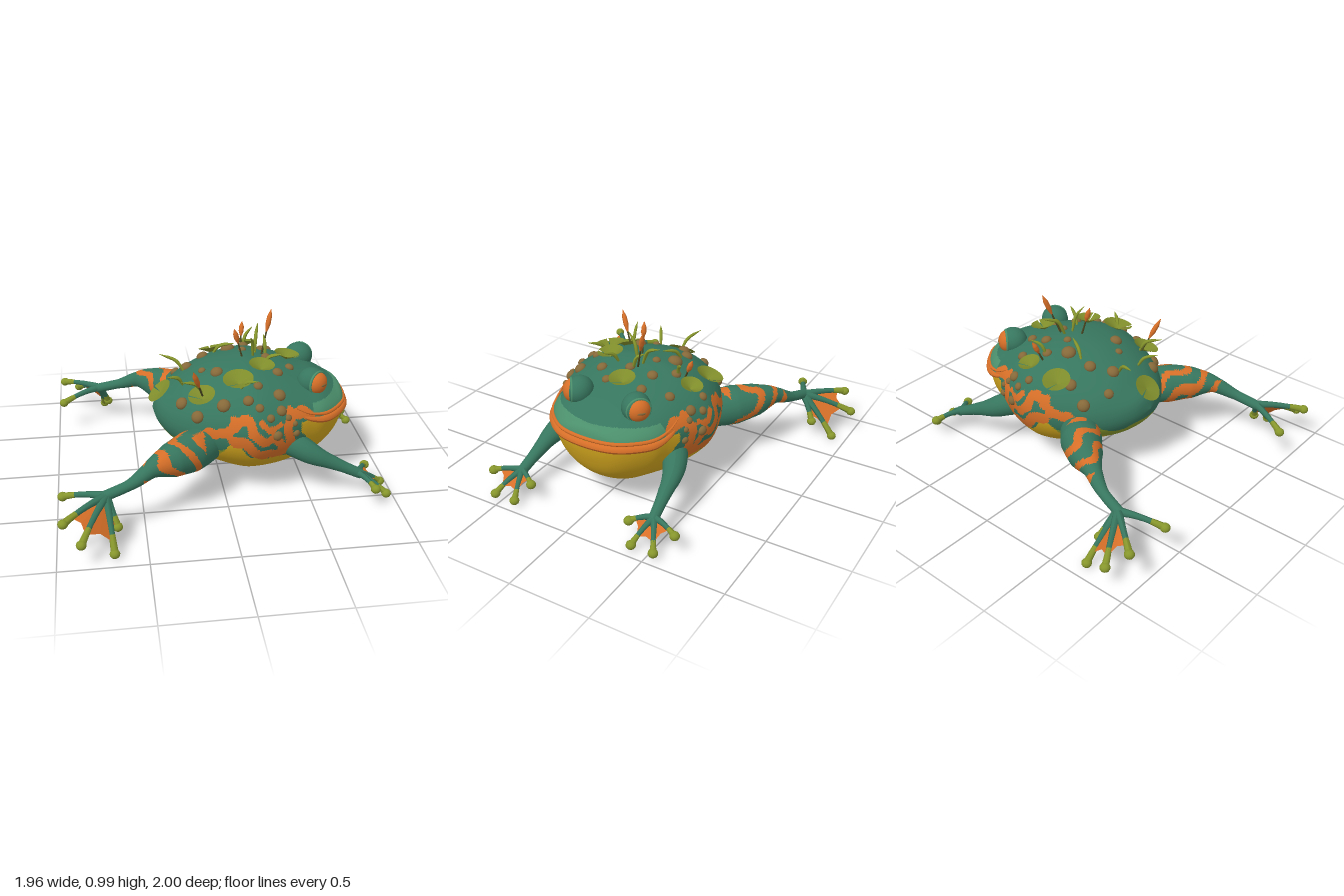
import * as THREE from 'three';

const mat = (name, color) => Object.assign(new THREE.MeshStandardMaterial({ color }), { name });
const V = (x, y, z) => new THREE.Vector3(x, y, z);
const UP = V(0, 1, 0);

// Body sections: x, bottom, widest height, top, half width
const SECTIONS = [
  [-0.4, 0.44, 0.44, 0.44, 0], [-0.37, 0.36, 0.43, 0.52, 0.12], [-0.3, 0.28, 0.42, 0.58, 0.24],
  [-0.2, 0.215, 0.42, 0.65, 0.34], [-0.05, 0.14, 0.42, 0.715, 0.43], [0.1, 0.085, 0.43, 0.745, 0.485],
  [0.2, 0.075, 0.44, 0.75, 0.497], [0.35, 0.08, 0.45, 0.72, 0.455], [0.5, 0.11, 0.48, 0.67, 0.39],
  [0.6, 0.15, 0.49, 0.635, 0.345], [0.7, 0.24, 0.49, 0.58, 0.255], [0.755, 0.36, 0.49, 0.55, 0.16],
  [0.78, 0.49, 0.49, 0.49, 0],
];
const curveA = new THREE.CatmullRomCurve3(SECTIONS.map(s => V(s[0], s[1], s[2])), false, 'catmullrom');
const curveB = new THREE.CatmullRomCurve3(SECTIONS.map(s => V(s[3], s[4], 0)), false, 'catmullrom');

// Flank markings: half width, then x, y points
const STRIPES = [
  [0.03, [-0.19, 0.41], [-0.08, 0.455], [0, 0.46], [0.055, 0.535], [0.13, 0.54], [0.14, 0.47], [0.2, 0.415], [0.28, 0.43], [0.32, 0.36]],
  [0.036, [0.04, 0.42], [0.11, 0.4], [0.16, 0.335], [0.24, 0.31], [0.32, 0.32]],
  [0.018, [0.19, 0.53], [0.235, 0.48], [0.3, 0.5]],
  [0.03, [0.375, 0.555], [0.355, 0.45], [0.375, 0.37], [0.33, 0.3]],
  [0.03, [0.425, 0.55], [0.5, 0.515]],
];
function onStripe(x, y) {
  const wobble = 0.006 * Math.sin(x * 70 + y * 45), q = V(x, y, 0), hit = V();
  return STRIPES.some(([w, ...pts]) => pts.slice(1).some((b, i) =>
    new THREE.Line3(V(...pts[i], 0), V(...b, 0)).closestPointToPoint(q, true, hit).distanceTo(q) < w + wobble));
}

// Point on the skin; angle runs from the top of the back towards +z
function skin(t, a) {
  const A = curveA.getPoint(t), B = curveB.getPoint(t), c = Math.cos(a);
  return V(A.x, A.z + c * (c > 0 ? B.x - A.z : A.z - A.y), B.y * Math.sin(a));
}
function tAt(x) {
  let lo = 0, hi = 1;
  for (let i = 0; i < 24; i++) {
    const m = (lo + hi) / 2;
    if (curveA.getPoint(m).x < x) lo = m; else hi = m;
  }
  return lo;
}
function spot(x, a) {
  const t = tAt(x), p = skin(t, a), e = 0.004;
  const n = skin(t, a + e).sub(skin(t, a - e)).cross(skin(t + e, a).sub(skin(t - e, a))).normalize();
  return { p, n };
}
const backSpot = (x, z) =>
  spot(x, Math.asin(THREE.MathUtils.clamp(z / curveB.getPoint(tAt(x)).y, -0.98, 0.98)));

// Sort triangles into material groups by a rule on their centres
function paint(geo, rule, count) {
  const pos = geo.attributes.position, idx = geo.index.array;
  const lists = Array.from({ length: count }, () => []);
  for (let i = 0; i < idx.length; i += 3) {
    const c = V(0, 0, 0);
    for (let k = 0; k < 3; k++) c.add(V().fromBufferAttribute(pos, idx[i + k]));
    c.divideScalar(3);
    lists[rule(c)].push(idx[i], idx[i + 1], idx[i + 2]);
  }
  geo.setIndex(lists.flat());
  let start = 0;
  lists.forEach((l, m) => { geo.addGroup(start, l.length, m); start += l.length; });
  return geo;
}

function bodyGeometry(rows = 170, cols = 160) {
  const pos = [], idx = [];
  for (let i = 0; i <= rows; i++)
    for (let j = 0; j < cols; j++) pos.push(...skin(i / rows, (j / cols) * Math.PI * 2).toArray());
  for (let i = 0; i < rows; i++)
    for (let j = 0; j < cols; j++) {
      const a = i * cols + j, b = i * cols + (j + 1) % cols;
      idx.push(a, b, a + cols, b, b + cols, a + cols);
    }
  const g = new THREE.BufferGeometry();
  g.setAttribute('position', new THREE.Float32BufferAttribute(pos, 3));
  g.setIndex(idx);
  g.computeVertexNormals();
  return g;
}

// Tube whose radius follows a list of values
function taper(points, radii, rings = 16, sides = 12) {
  const curve = new THREE.CatmullRomCurve3(points);
  const g = new THREE.TubeGeometry(curve, rings, 1, sides), pos = g.attributes.position;
  for (let i = 0; i <= rings; i++) {
    const c = curve.getPointAt(i / rings), f = (i / rings) * (radii.length - 1);
    const k = Math.min(Math.floor(f), radii.length - 2);
    const r = THREE.MathUtils.lerp(radii[k], radii[k + 1], f - k);
    for (let j = 0; j <= sides; j++) {
      const n = i * (sides + 1) + j;
      const v = V().fromBufferAttribute(pos, n).sub(c).multiplyScalar(r).add(c);
      pos.setXYZ(n, v.x, v.y, v.z);
    }
  }
  g.computeVertexNormals();
  return g;
}

export function createModel() {
  const root = new THREE.Group();
  root.name = 'frog';
  const green = mat('skin green', 0x37765f), pale = mat('snout green', 0x4b8f6c);
  const orange = mat('marking orange', 0xd66f28), yellow = mat('belly yellow', 0xd0a41e);
  const olive = mat('leaf olive', 0x87962c), brown = mat('wart brown', 0x86693a);
  const dark = mat('stem brown', 0x4c4a22), leaf = mat('pad olive', 0x7f8c2b);
  leaf.side = orange.side = THREE.DoubleSide;
  const add = (name, geo, m, p) => {
    const o = new THREE.Mesh(geo, m);
    o.name = name;
    if (p) o.position.copy(p);
    root.add(o);
    return o;
  };

  // Body with belly, flank markings, shoulder patch and snout
  const bodyRule = ({ x, y, z }) => {
    const wave = 0.02 * Math.sin(x * 25) + 0.012 * Math.sin(x * 47), side = Math.abs(z) > 0.22;
    if (side && x < 0.53 && y > 0.26 && onStripe(x, y)) return 1;
    if (side && Math.hypot(x - 0.4, y - 0.35) < 0.09 + wave * 0.5) return 0;
    if (x > 0.44 && y < 0.49) return 2;
    if (x > 0.52 && y > 0.49 && y < 0.57) return 3;
    const belly = 0.26 + 0.12 * Math.exp(-(((x - 0.03) / 0.11) ** 2)) + (x > 0.15 ? 0.03 : 0);
    if (y < belly + wave) return 2;
    return x < 0.08 && y < 0.37 + wave ? 4 : 0;
  };
  add('body', paint(bodyGeometry(), bodyRule, 5), [green, orange, yellow, pale, olive]);

  // Thin upper lip over a full lower lip
  const mouth = [[0.42, 67], [0.5, 79], [0.6, 89], [0.7, 90], [0.755, 90]]
    .map(([x, d]) => spot(x, d * Math.PI / 180).p);
  const lip = (name, dy, r) => {
    const half = mouth.map(p => V(p.x, p.y + dy, p.z));
    const path = [...half, V(0.774, 0.488 + dy, 0), ...half.map(p => V(p.x, p.y, -p.z)).reverse()];
    add(name, taper(path, [0.3, 1, 1, 1, 1, 1, 0.3].map(k => k * r), 56, 10), orange);
  };
  lip('upperLip', 0.012, 0.011);
  lip('lowerLip', -0.023, 0.024);

  // Foot: toes with round tips and webbing between them
  function foot(name, base, tips, r, webFrom, reach) {
    const along = (tip, f) => base.clone().lerp(tip, f).add(V(0, 0.05 * f * (1 - f), 0));
    tips.forEach(tip => {
      add(name + 'Toe', taper([0, 0.35, 0.7, 1].map(f => along(tip, f)), [r, r * 0.72, r * 0.6, r * 0.8], 10, 8), green);
      add(name + 'ToePad', new THREE.SphereGeometry(0.029, 14, 10), olive, tip).scale.y = 0.9;
      add(name + 'ToeEnd', taper([along(tip, 0.7), along(tip, 0.85), tip], [r * 0.65, r * 0.75, 0.022], 6, 8), olive);
    });
    for (let i = webFrom; i < tips.length - 1; i++) {
      const a = along(tips[i], reach), b = along(tips[i + 1], reach);
      const m = along(tips[i].clone().lerp(tips[i + 1], 0.5), reach * 0.9);
      const g = new THREE.BufferGeometry().setFromPoints([base, a, m, base, m, b]);
      g.computeVertexNormals();
      add(name + 'Web', g, orange);
    }
  }

  for (const s of [1, -1]) {
    // Hind leg with banded thigh
    const hind = [V(-0.02, 0.34, s * 0.2), V(-0.17, 0.345, s * 0.375), V(-0.32, 0.355, s * 0.505),
      V(-0.44, 0.355, s * 0.585), V(-0.57, 0.3, s * 0.65), V(-0.73, 0.255, s * 0.69)];
    const bands = ({ x, y, z }) => x > -0.5 && x < -0.13 &&
      Math.sin(x * 42 + y * 30 + 1.5 * Math.sin(z * 30)) > 0.3 ? 1 : 0;
    add('hindLeg', paint(taper(hind, [0.07, 0.115, 0.122, 0.1, 0.05, 0.031, 0.03], 80, 40), bands, 2), [green, orange]);
    foot('hind', V(-0.715, 0.26, s * 0.69), [V(-0.957, 0.21, s * 0.585), V(-0.952, 0.225, s * 0.885),
      V(-0.86, 0.14, s * 0.97), V(-0.685, 0.028, s * 0.915), V(-0.66, 0.11, s * 0.78)], 0.026, 1, 0.82);

    // Front leg, rooted inside the chest
    const arm = [V(0.32, 0.36, s * 0.28), V(0.43, 0.315, s * 0.375), V(0.53, 0.265, s * 0.42),
      V(0.65, 0.21, s * 0.437), V(0.81, 0.135, s * 0.455)];
    add('frontLeg', taper(arm, [0.06, 0.08, 0.067, 0.046, 0.034, 0.03], 28, 20), green);
    foot('front', V(0.79, 0.145, s * 0.455), [V(0.855, 0.125, s * 0.62), V(0.948, 0.04, s * 0.54),
      V(0.948, 0.04, s * 0.4), V(0.865, 0.125, s * 0.335)], 0.023, 0, 0.74);

    // Eye bulge, lid ring, large iris and slit pupil
    const c = V(0.545, 0.645, s * 0.19), dir = V(0.62, 0.02, s * 0.78).normalize();
    add('eyeBulge', new THREE.SphereGeometry(0.085, 28, 20), green, c).scale.set(1.05, 1, 0.95);
    const eye = (name, geo, m, d, sx, sy, sz) => {
      const o = add(name, geo, m, c.clone().addScaledVector(dir, d));
      o.quaternion.setFromUnitVectors(V(0, 0, 1), dir);
      o.scale.set(sx, sy, sz);
    };
    eye('eyelid', new THREE.TorusGeometry(0.069, 0.008, 10, 28), pale, 0.046, 1, 1, 1);
    eye('iris', new THREE.SphereGeometry(0.068, 24, 16), orange, 0.042, 1, 1, 0.8);
    eye('pupil', new THREE.SphereGeometry(0.018, 14, 10), brown, 0.094, 1.4, 0.4, 0.25);
  }

  // Warts on the back and both flanks
  const wart = ({ p, n }, r) => {
    const o = add('wart', new THREE.SphereGeometry(r, 14, 10), brown, p);
    o.quaternion.setFromUnitVectors(UP, n);
    o.scale.y = 0.75;
  };
  [[0.09, -0.18, 0.045], [-0.07, -0.17, 0.036], [0.2, -0.25, 0.03], [0.3, -0.15, 0.033], [0.42, -0.15, 0.03],
    [0.3, 0.0, 0.03], [-0.02, 0.13, 0.038], [-0.24, 0.22, 0.038], [-0.01, 0.36, 0.04], [0.32, 0.34, 0.038],
    [0.43, 0.08, 0.028], [-0.18, -0.09, 0.038], [-0.1, 0.06, 0.023], [0.34, 0.17, 0.033], [0.17, -0.1, 0.025],
    [-0.05, -0.32, 0.036], [0.13, 0.38, 0.032], [0.2, 0.3, 0.028], [0.36, -0.3, 0.03], [-0.24, -0.2, 0.03]]
    .forEach(([x, z, r]) => wart(backSpot(x, z), r));
  [[-0.16, 65, 0.038], [0.19, 58, 0.026], [0.25, 69, 0.025], [0.32, 63, 0.032], [0.36, 72, 0.02],
    [0.29, 90, 0.03], [0.41, 95, 0.022], [0.44, 108, 0.022], [0.4, 82, 0.017]]
    .forEach(([x, d, r]) => [1, -1].forEach(s => wart(spot(x, s * d * Math.PI / 180), r)));

  // Bowl-shaped lily pads with a narrow notch, the last one flat against the rump
  [[0.02, -0.36, 0.083], [0.23, -0.36, 0.066], [0.43, -0.03, 0.077], [0.24, 0.17, 0.077], [0.09, 0.27, 0.09],
    [-0.12, 0.28, 0.08], [-0.345, 0.02, 0.085]].forEach(([x, z, r], i) => {
    const { p, n } = backSpot(x, z), rump = i === 6;
    const tilt = n.clone().lerp(UP, rump ? 0 : 0.5).normalize();
    const pad = add('lilyPad', new THREE.ConeGeometry(r, rump ? 0.015 : 0.042, 28, 1, true, i, 6.15), leaf,
      p.addScaledVector(tilt, rump ? 0.012 : 0.024));
    pad.quaternion.setFromUnitVectors(UP, tilt).multiply(new THREE.Quaternion().setFromAxisAngle(V(1, 0, 0), Math.PI));
  });

  // Cattails: base x, z and tip
  [[0.28, -0.04, V(0.35, 0.995, -0.12)], [0.15, 0.01, V(0.1, 0.935, 0.025)],
    [0.19, -0.3, V(0.21, 0.825, -0.36)], [-0.12, 0.26, V(-0.185, 0.825, 0.36)]].forEach(([x, z, tip], i) => {
    const base = backSpot(x, z).p, at = f => base.clone().lerp(tip, f), len = i < 2 ? 0.5 : 0.4;
    add('cattailStem', taper([at(0), at(0.5), at(0.9)], [0.006, 0.005, 0.004], 6, 6), dark);
    add('cattailHead', taper([at(len), at(0.65), at(0.85), at(1)], [0.006, 0.016, 0.015, 0.002], 12, 8), orange);
  });

  // Bent grass blades: base x, z, lean in x and z, height
  [[0.24, -0.05, 0.04, -0.14, 0.14], [0.22, 0.0, -0.03, 0.08, 0.15], [0.3, -0.02, 0.0, -0.08, 0.11],
    [0.2, -0.26, 0.07, -0.06, 0.1], [0.0, -0.17, 0.12, 0.06, 0.08], [-0.2, -0.06, -0.14, -0.06, 0.09],
    [-0.12, 0.24, -0.13, 0.05, 0.1], [0.1, 0.3, 0.09, 0.07, 0.07], [0.27, 0.1, 0.1, 0.05, 0.08],
    [-0.22, 0.1, -0.1, 0.06, 0.08]].forEach(([x, z, dx, dz, h]) => {
    const p = backSpot(x, z).p;
    const path = [p, V(p.x + dx * 0.3, p.y + h * 0.65, p.z + dz * 0.3), V(p.x + dx, p.y + h, p.z + dz)];
    add('grassBlade', taper(path, [0.007, 0.011, 0.01, 0.001], 10, 6), olive);
  });

  return root;
}
